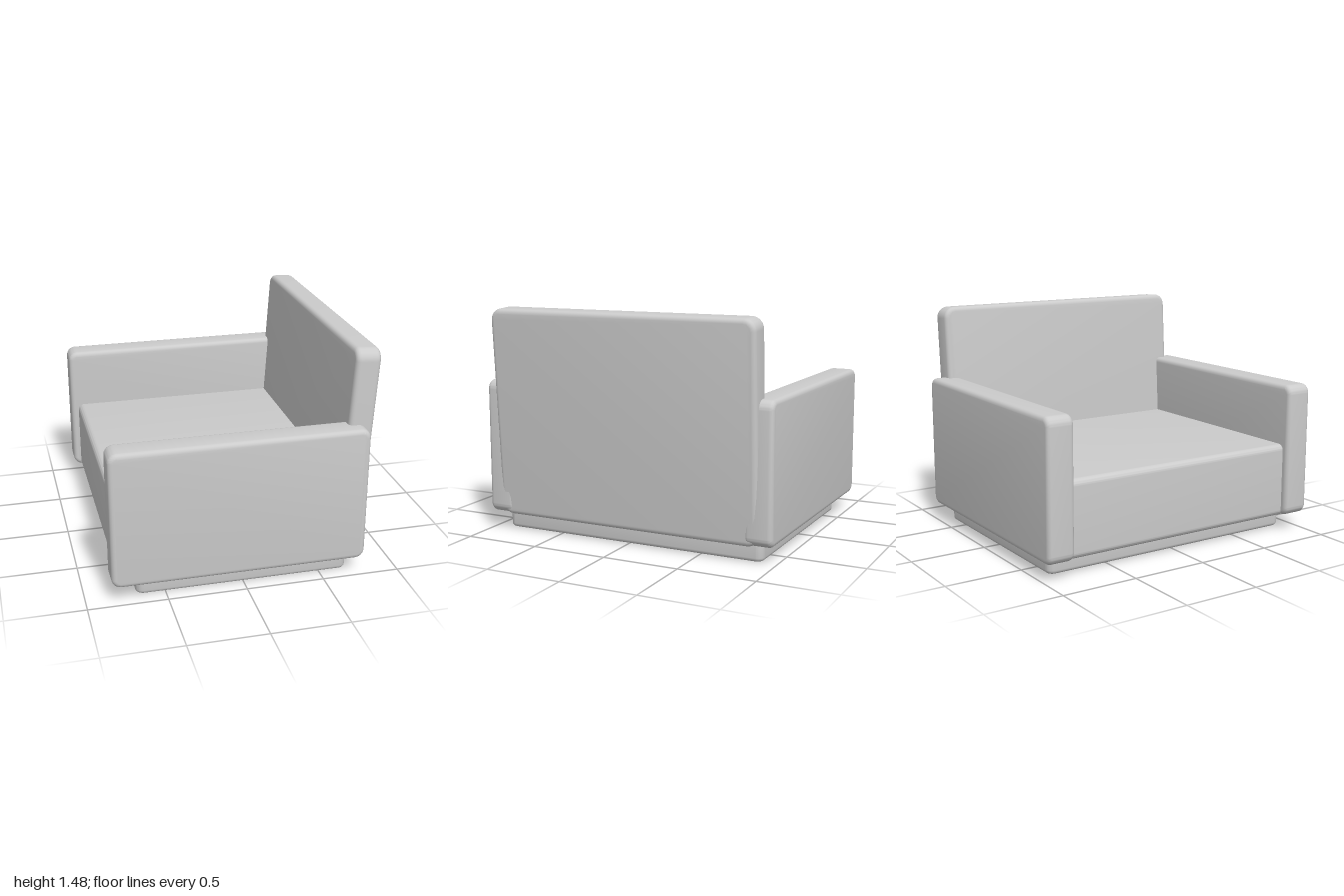
import * as THREE from 'three';
import { toCreasedNormals } from 'three/addons/utils/BufferGeometryUtils.js';

// Upright slab in the XY plane, centred: rounded corners of radius r, edges softened by bevel b
function slab(w, h, depth, r, b) {
  const x = w / 2, y = h / 2;
  const s = new THREE.Shape();
  s.moveTo(-x + r, -y);
  s.lineTo(x - r, -y);
  s.absarc(x - r, -y + r, r, -Math.PI / 2, 0);
  s.lineTo(x, y - r);
  s.absarc(x - r, y - r, r, 0, Math.PI / 2);
  s.lineTo(-x + r, y);
  s.absarc(-x + r, y - r, r, Math.PI / 2, Math.PI);
  s.lineTo(-x, -y + r);
  s.absarc(-x + r, -y + r, r, Math.PI, Math.PI * 1.5);
  const g = new THREE.ExtrudeGeometry(s, {
    depth: depth - 2 * b, curveSegments: 6, bevelEnabled: true,
    bevelThickness: b, bevelSize: b, bevelOffset: -b, bevelSegments: 4,
  });
  g.translate(0, 0, -depth / 2 + b);
  return toCreasedNormals(g, 0.6);
}

export function createModel() {
  const chair = new THREE.Group();
  chair.name = 'armchair';
  const material = new THREE.MeshStandardMaterial({ color: 0xcccccc });
  const add = (name, geometry, x, y, z) => {
    const mesh = new THREE.Mesh(geometry, material);
    mesh.name = name;
    mesh.position.set(x, y, z);
    chair.add(mesh);
    return mesh;
  };

  // Recessed plinth, lying flat
  const plinth = slab(1.37, 1.82, 0.2, 0.05, 0.025);
  plinth.rotateX(-Math.PI / 2);
  add('plinth', plinth, 0, 0.1, 0);

  // Seat block, its ends buried in the arms and backrest
  add('seat', slab(1.5, 0.49, 1.76, 0.04, 0.03), -0.045, 0.355, 0);

  // Arms on both sides
  const arm = slab(1.615, 0.885, 0.18, 0.06, 0.03);
  for (const side of [-1, 1]) {
    add(side > 0 ? 'leftArm' : 'rightArm', arm, -0.0375, 0.5575, side * 0.91);
  }

  // Backrest, leaning outward
  const back = slab(1.82, 1.365, 0.16, 0.075, 0.03);
  back.rotateY(Math.PI / 2);
  add('backrest', back, 0.723, 0.795, 0).rotation.z = -0.062;

  return chair;
}
